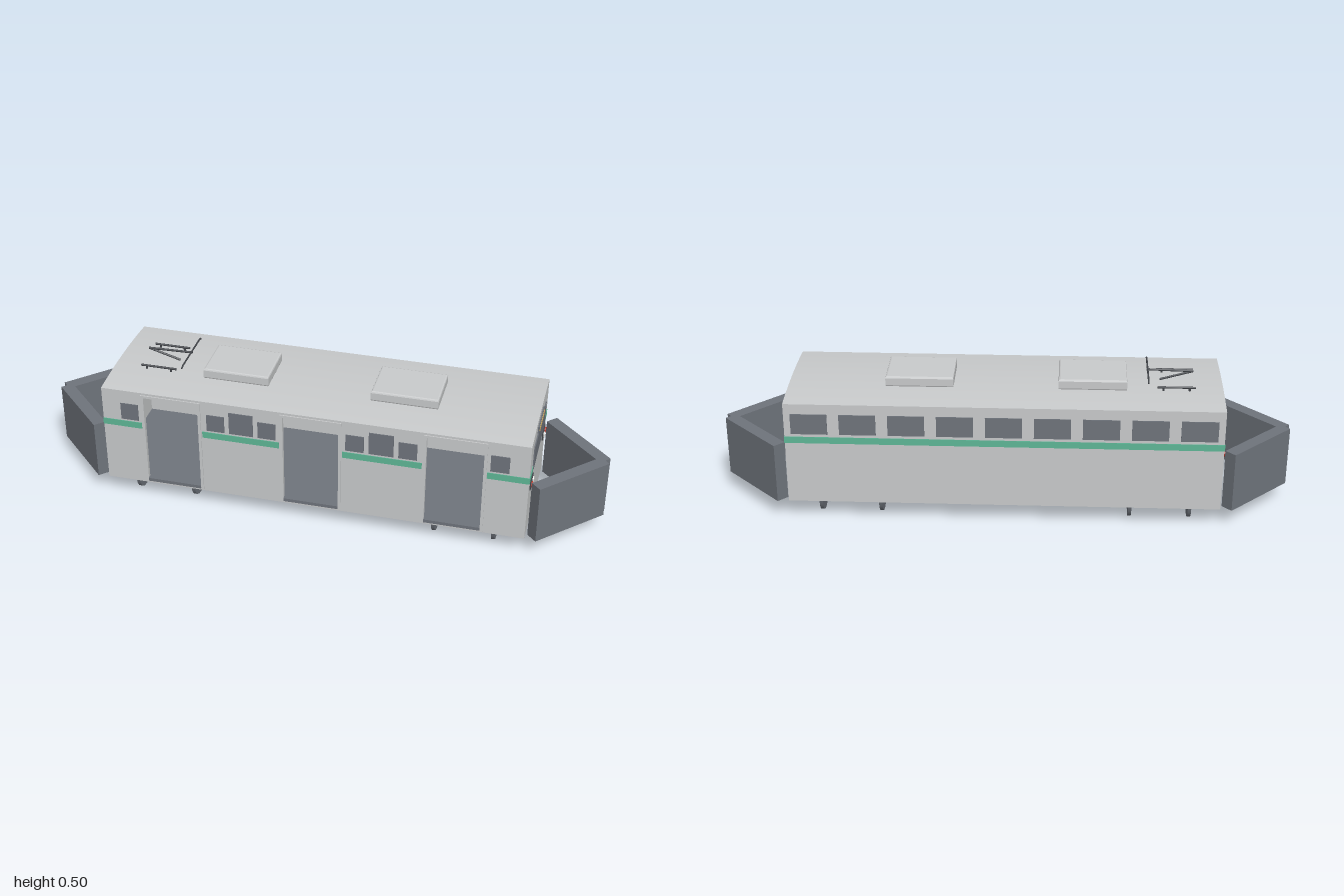
import * as THREE from 'three';
import { toCreasedNormals } from 'three/addons/utils/BufferGeometryUtils.js';

const material = (name, color) => {
  const m = new THREE.MeshStandardMaterial({ color });
  m.name = name;
  return m;
};

export function createModel() {
  const bodyGrey = material('body grey', 0xc9cbcc);
  const slate = material('slate grey', 0x6f747c);
  const green = material('stripe green', 0x5fb797);
  const amber = material('sign amber', 0xcbab68);
  const charcoal = material('charcoal', 0x43464b);
  const red = material('lamp red', 0xc0392b);
  const white = material('lamp white', 0xeeeeea);

  const model = new THREE.Group();
  model.name = 'tram';

  const add = (name, geometry, mat, x = 0, y = 0, z = 0) => {
    const mesh = new THREE.Mesh(geometry, mat);
    mesh.name = name;
    mesh.position.set(x, y, z);
    model.add(mesh);
    return mesh;
  };
  // Box given by its limits on each axis
  const span = (name, mat, x0, x1, y0, y1, z0, z1) =>
    add(name, new THREE.BoxGeometry(x1 - x0, y1 - y0, z1 - z0), mat,
      (x0 + x1) / 2, (y0 + y1) / 2, (z0 + z1) / 2);
  const rectPath = (p, x0, x1, y0, y1) =>
    p.moveTo(x0, y0).lineTo(x1, y0).lineTo(x1, y1).lineTo(x0, y1).closePath();
  // Thin round bar between two points
  const bar = (name, a, b, r) => {
    const from = new THREE.Vector3(...a), to = new THREE.Vector3(...b);
    const dir = to.clone().sub(from);
    const mesh = add(name, new THREE.CylinderGeometry(r, r, dir.length(), 8), charcoal);
    mesh.position.copy(from).add(to).multiplyScalar(0.5);
    mesh.quaternion.setFromUnitVectors(new THREE.Vector3(0, 1, 0), dir.normalize());
  };

  const L = 0.752, W = 0.22, BASE = 0.07, EAVE = 0.445;
  const doors = [-0.5, 0, 0.5];

  // Hollow car body: floor, back wall, front wall with open doorways
  span('floor', slate, -L + 0.005, L - 0.005, BASE, 0.09, -W + 0.005, W - 0.005);
  span('backWall', bodyGrey, -L, L, BASE, EAVE, -W, -W + 0.01);
  const front = rectPath(new THREE.Shape(), -L, L, BASE, EAVE);
  for (const x of doors) {
    front.holes.push(rectPath(new THREE.Path(), x - 0.098, x + 0.098, 0.085, 0.428));
  }
  add('frontWall', new THREE.ExtrudeGeometry(front, { depth: 0.01, bevelEnabled: false }),
    bodyGrey, 0, 0, W - 0.01);

  // Gently arched roof
  const arch = new THREE.Shape().moveTo(-W, 0.437).lineTo(W, 0.437).lineTo(W, EAVE);
  arch.quadraticCurveTo(0, 0.467, -W, EAVE);
  const roof = new THREE.ExtrudeGeometry(arch, { depth: 2 * L, bevelEnabled: false, curveSegments: 16 });
  roof.translate(0, 0, -L).rotateY(Math.PI / 2);
  add('roof', toCreasedNormals(roof, 0.5), bodyGrey);

  // Door frames and steps
  for (const x of doors) {
    const frame = rectPath(new THREE.Shape(), x - 0.108, x + 0.108, 0.075, 0.437);
    frame.holes.push(rectPath(new THREE.Path(), x - 0.098, x + 0.098, 0.085, 0.428));
    add('doorFrame', new THREE.ExtrudeGeometry(frame, { depth: 0.004, bevelEnabled: false }),
      bodyGrey, 0, 0, W);
    span('doorStep', slate, x - 0.098, x + 0.098, 0.08, 0.092, W - 0.02, 0.227);
  }

  // Green side stripes
  for (const [x0, x1] of [[-L, -0.61], [-0.388, -0.112], [0.112, 0.388], [0.61, L]]) {
    span('frontStripe', green, x0, x1, 0.298, 0.322, W - 0.001, W + 0.002);
  }
  span('backStripe', green, -L, L, 0.298, 0.322, -W - 0.002, -W + 0.001);

  // Front windows: a single one at each end, trios between the doors
  const frontWindow = (x, w, top) =>
    span('frontWindow', slate, x - w / 2, x + w / 2, 0.33, top, W - 0.001, W + 0.003);
  for (const s of [-1, 1]) {
    frontWindow(s * 0.652, 0.064, 0.394);
    frontWindow(s * 0.247, 0.086, 0.415);
    for (const d of [-0.092, 0.092]) frontWindow(s * 0.247 + d, 0.064, 0.394);
  }
  // Row of back windows
  for (let i = -4; i <= 4; i++) {
    const x = i * 0.1665;
    span('backWindow', slate, x - 0.063, x + 0.063, 0.333, 0.408, -W - 0.003, -W + 0.001);
  }

  // Both ends, mirrored
  for (const s of [-1, 1]) {
    // Plate standing on the end wall between two depths
    const plate = (name, mat, halfW, y0, y1, out, z = 0, inner = -0.001) => {
      const a = s * (L + inner), b = s * (L + out);
      return span(name, mat, Math.min(a, b), Math.max(a, b), y0, y1, z - halfW, z + halfW);
    };
    plate('endWall', bodyGrey, W, BASE, EAVE, 0, 0, -0.01);
    plate('endStripe', green, W, 0.298, 0.32, 0.002);
    plate('windscreen', slate, 0.143, 0.306, 0.4, 0.004);
    plate('signFrame', slate, 0.068, 0.403, 0.428, 0.005);
    plate('signPanel', amber, 0.058, 0.407, 0.423, 0.007);
    for (const t of [-1, 1]) {
      // Lamp clusters
      plate('lampHousing', charcoal, 0.032, 0.25, 0.28, 0.004, t * 0.155);
      for (const [dz, mat] of [[-0.015, white], [0.015, red]]) {
        const lamp = add('lamp', new THREE.CylinderGeometry(0.011, 0.011, 0.008, 16), mat,
          s * (L + 0.004), 0.265, t * (0.155 + dz));
        lamp.rotation.z = Math.PI / 2;
      }
      // Wedge-shaped end guard made of two slabs
      const slab = add('endGuard', new THREE.BoxGeometry(0.296, 0.217, 0.045), slate,
        s * 0.8796, 0.1775, t * 0.1046);
      slab.rotation.y = s * t * Math.PI / 4;
    }
    span('coupler', slate, s * 0.74 - 0.02, s * 0.74 + 0.02, 0.058, 0.075, -0.014, 0.014);
  }

  // Underframe rails, cross beams and half-hidden wheel discs
  for (const t of [-1, 1]) {
    span('underframeRail', slate, -0.72, 0.72, 0.05, 0.072, t * 0.154 - 0.006, t * 0.154 + 0.006);
  }
  for (const x of [-0.648, -0.44, 0.432, 0.642]) {
    span('crossBeam', slate, x - 0.012, x + 0.012, 0.047, 0.072, -0.12, 0.12);
    for (const t of [-1, 1]) {
      const half = new THREE.CylinderGeometry(0.067, 0.067, 0.012, 8, 1, false, 0, Math.PI);
      half.rotateZ(Math.PI / 2);
      // Turn the curved half downwards whichever way it was laid
      half.computeBoundingBox();
      if (half.boundingBox.max.y > 0.03) half.rotateX(Math.PI);
      add('wheel', toCreasedNormals(half, 0.5), slate, x, 0.069, t * 0.137).position.y = 0.068;
    }
  }

  // Roof units with bevelled edges
  for (const x of [-0.302, 0.296]) {
    const shape = rectPath(new THREE.Shape(), -0.112, 0.112, -0.082, 0.082);
    const unit = new THREE.ExtrudeGeometry(shape,
      { depth: 0.026, bevelThickness: 0.006, bevelSize: 0.006, bevelSegments: 2 });
    unit.rotateX(-Math.PI / 2);
    add('roofUnit', unit, bodyGrey, x, 0.461, 0);
  }

  // Folding current collector
  for (const z of [-0.077, 0.073]) {
    bar('collectorBase', [-0.655, 0.467, z], [-0.525, 0.467, z], 0.004);
    for (const x of [-0.635, -0.545]) bar('collectorFoot', [x, 0.448, z], [x, 0.467, z], 0.004);
  }
  bar('collectorLowerArm', [-0.535, 0.462, 0], [-0.65, 0.495, 0], 0.004);
  bar('collectorUpperArm', [-0.65, 0.495, 0], [-0.488, 0.499, 0], 0.004);
  bar('collectorHead', [-0.492, 0.5, -0.098], [-0.492, 0.5, 0.098], 0.003);
  for (const t of [-1, 1]) bar('collectorHorn', [-0.492, 0.499, t * 0.095], [-0.492, 0.495, t * 0.107], 0.003);

  return model;
}
